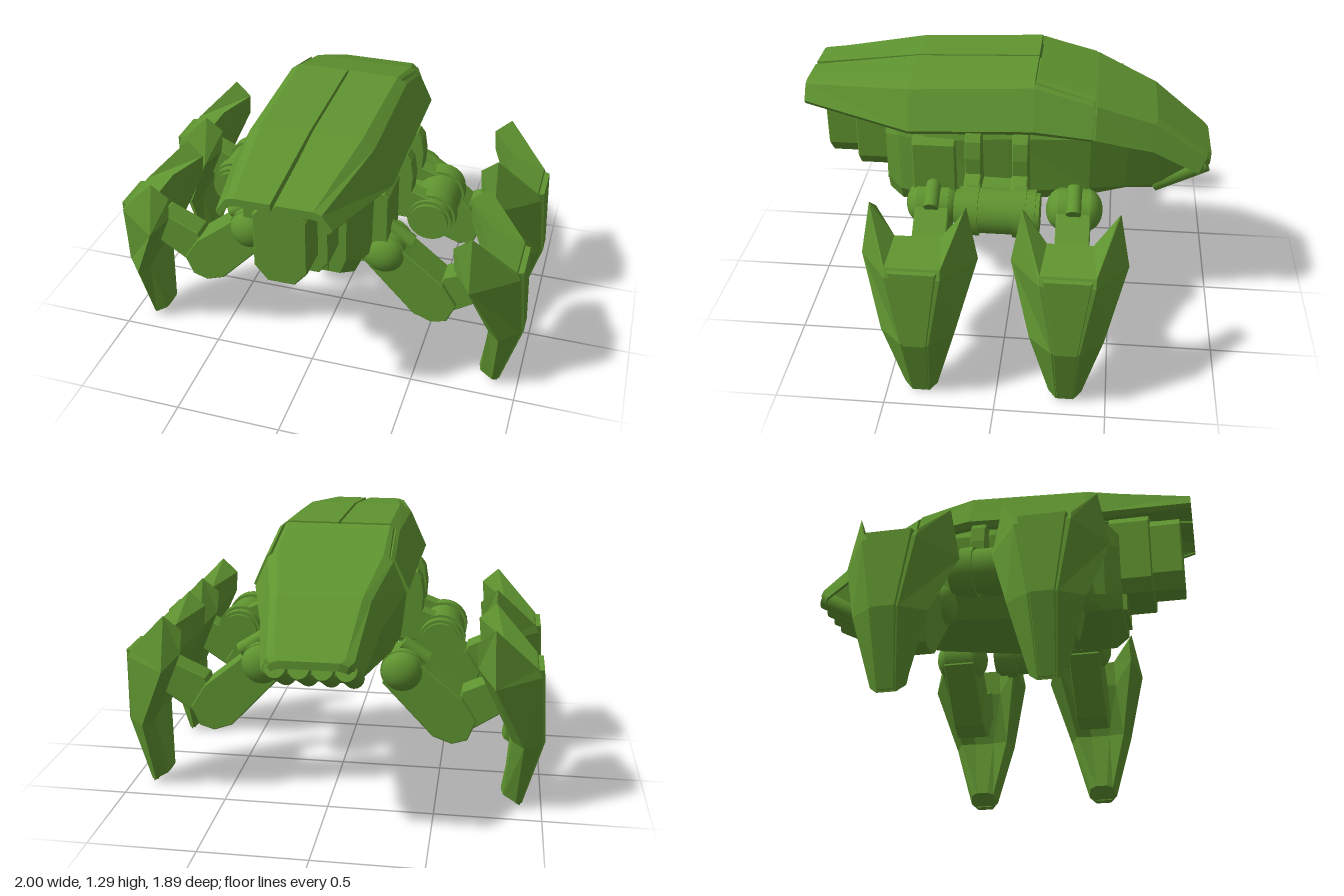
import * as THREE from 'three';

const green = new THREE.MeshStandardMaterial({ color: 0x5f9430, side: THREE.DoubleSide });
green.name = 'leaf green';

function add(parent, name, geometry, x = 0, y = 0, z = 0) {
  const mesh = new THREE.Mesh(geometry, green);
  mesh.name = name;
  mesh.position.set(x, y, z);
  parent.add(mesh);
  return mesh;
}

// Faceted skin through closed rings of [x, y, z]; ends are closed by pairing ring sides
function loft(rings) {
  const pos = [], n = rings[0].length;
  const quad = (a, b, c, d) => pos.push(...a, ...b, ...c, ...a, ...c, ...d);
  for (let r = 0; r + 1 < rings.length; r++) {
    for (let i = 0; i < n; i++) {
      const j = (i + 1) % n;
      quad(rings[r][i], rings[r + 1][i], rings[r + 1][j], rings[r][j]);
    }
  }
  const cap = (ring, flip) => {
    for (let i = 0; i < n / 2 - 1; i++) {
      const q = [ring[i], ring[i + 1], ring[n - 2 - i], ring[n - 1 - i]];
      quad(...(flip ? q.reverse() : q));
    }
  };
  cap(rings[0], false);
  cap(rings[rings.length - 1], true);
  const g = new THREE.BufferGeometry();
  g.setAttribute('position', new THREE.Float32BufferAttribute(pos, 3));
  g.computeVertexNormals();
  return g;
}

// Symmetric solid ring at depth z from right-hand points listed top to bottom
const bodyRing = (z, pts) => [
  ...pts.map(([x, y]) => [x, y, z]),
  ...pts.slice().reverse().map(([x, y]) => [-x, y, z]),
];

// Ring of a thin armour plate: outer points, then the same points moved inward,
// thinning to nothing in height at the lower rim
function plateRing(outer) {
  const ys = outer.map((p) => p[1]);
  const lo = Math.min(...ys), hi = Math.max(...ys);
  const inner = outer.slice().reverse().map(([x, y, z]) => [x * 0.92, y - 0.035 * (y - lo) / (hi - lo), z]);
  return [...outer, ...inner];
}

// Flat outline in the front plane, given thickness along z with a small bevel
function slab(points, depth, bevel = 0.005) {
  const shape = new THREE.Shape(points.map(([x, y]) => new THREE.Vector2(x, y)));
  const g = new THREE.ExtrudeGeometry(shape, {
    depth: depth - 2 * bevel, bevelEnabled: true, bevelSize: bevel,
    bevelOffset: -bevel, bevelThickness: bevel, bevelSegments: 1,
  });
  return g.translate(0, 0, bevel - depth / 2);
}

const zCylinder = (r, length, sides = 24) =>
  new THREE.CylinderGeometry(r, r, length, sides).rotateX(Math.PI / 2);

// Armoured shin, with two horns curling inward around the leg
function shinGeometry() {
  // outer face, side edge, inner edge, inner face; each [x, y, half depth]
  const rows = [
    [[0.945, 0.72, 0.12], [0.75, 0.92, 0.21], [0.67, 0.85, 0.2], [0.79, 0.78, 0.1]],
    [[0.965, 0.68, 0.12], [0.76, 0.66, 0.258], [0.68, 0.74, 0.205], [0.79, 0.64, 0.105]],
    [[0.99, 0.34, 0.062], [0.9, 0.35, 0.165], [0.845, 0.37, 0.13], [0.86, 0.37, 0.05]],
    [[0.9, 0.0, 0.04], [0.88, 0.03, 0.075], [0.82, 0.06, 0.06], [0.81, 0.07, 0.03]],
  ];
  return loft(rows.map(([a, b, c, d]) => [
    b, a, [a[0], a[1], -a[2]], [b[0], b[1], -b[2]],
    [c[0], c[1], -c[2]], [d[0], d[1], -d[2]], d, c,
  ]));
}

function makeLeg(name) {
  const leg = new THREE.Group();
  leg.name = name;
  // hip barrel with domed ends
  add(leg, 'hipBarrel', zCylinder(0.1, 0.15), 0.33, 0.66);
  for (const s of [1, -1]) {
    const dome = add(leg, 'hipDome', new THREE.SphereGeometry(0.098, 24, 14), 0.33, 0.66, s * 0.06);
    dome.scale.z = 0.75;
  }
  // thigh
  add(leg, 'thigh', slab([[0.24, 0.6], [0.48, 0.345], [0.57, 0.313], [0.64, 0.335],
    [0.68, 0.43], [0.61, 0.54], [0.46, 0.66], [0.37, 0.74], [0.28, 0.72]], 0.16));
  // knee link between thigh and shin
  add(leg, 'kneeLink', slab([[0.56, 0.42], [0.64, 0.37], [0.82, 0.49], [0.88, 0.55],
    [0.86, 0.66], [0.78, 0.65], [0.61, 0.57]], 0.115));
  // small piston above the hip
  const piston = add(leg, 'hipPiston', new THREE.CylinderGeometry(0.035, 0.035, 0.14, 16), 0.385, 0.74);
  piston.rotation.z = 1.0;
  add(leg, 'shin', shinGeometry());
  // raised plate down the outer face of the shin
  add(leg, 'shinPlate', loft([[0.975, 0.71, 0.1], [1.0, 0.34, 0.05], [0.91, 0.01, 0.034]].map(
    ([x, y, w]) => [[x - 0.03, y, w + 0.01], [x, y, w], [x, y, -w], [x - 0.03, y, -w - 0.01]])));
  return leg;
}

function makeSide() {
  const side = new THREE.Group();
  // front half shell and the flank that runs back beside the rear shell
  const shellRow = (z, pts) => plateRing(pts.map(([x, y]) => [x, y, z]));
  add(side, 'frontShell', loft([
    shellRow(0.95, [[0.012, 1.205], [0.17, 1.205], [0.205, 1.195], [0.25, 1.13], [0.237, 1.112]]),
    shellRow(0.45, [[0.006, 1.27], [0.23, 1.27], [0.285, 1.23], [0.37, 1.06], [0.35, 1.037]]),
    shellRow(-0.12, [[0.006, 1.29], [0.24, 1.29], [0.285, 1.26], [0.37, 1.085], [0.35, 1.06]]),
  ]));
  add(side, 'shellFlank', loft([
    shellRow(-0.12, [[0.268, 1.273], [0.285, 1.26], [0.37, 1.085], [0.35, 1.06]]),
    shellRow(-0.385, [[0.275, 1.2], [0.29, 1.185], [0.355, 1.05], [0.335, 1.03]]),
  ]));
  // shoulder pillar behind the front hip
  add(side, 'shoulderPillar', slab([[0.2, 0.61], [0.31, 0.61], [0.35, 0.66], [0.35, 0.98],
    [0.33, 1.0], [0.22, 1.0]], 0.2), 0, 0, 0.34);
  // side canister with clamps, stepped ends and curved straps up to the shell
  add(side, 'canister', zCylinder(0.105, 0.35), 0.49, 0.735, 0.028);
  add(side, 'canisterCore', zCylinder(0.09, 0.385), 0.49, 0.735, 0.028);
  for (const z of [-0.075, 0.14]) {
    add(side, 'canisterClamp', zCylinder(0.117, 0.06), 0.49, 0.735, z);
    add(side, 'strap', slab([[0.29, 1.06], [0.37, 1.06], [0.392, 1.03], [0.405, 0.95],
      [0.4, 0.87], [0.48, 0.84], [0.45, 0.72], [0.29, 0.72]], 0.075), 0, 0, z + 0.01);
  }
  add(side, 'canisterBracket', new THREE.BoxGeometry(0.16, 0.1, 0.2), 0.38, 0.75, 0.028);
  // legs
  for (const [name, z] of [['frontLeg', 0.345], ['rearLeg', -0.315]]) {
    const leg = makeLeg(name);
    leg.position.z = z;
    side.add(leg);
  }
  return side;
}

export function createModel() {
  const model = new THREE.Group();
  model.name = 'walker';

  // main hull
  add(model, 'hull', loft([
    bodyRing(0.59, [[0.17, 1.04], [0.2, 0.95], [0.2, 0.72], [0.17, 0.64]]),
    bodyRing(0.52, [[0.23, 1.1], [0.25, 0.97], [0.25, 0.68], [0.22, 0.61]]),
    bodyRing(0.38, [[0.27, 1.14], [0.31, 0.98], [0.3, 0.68], [0.23, 0.61]]),
    bodyRing(0.0, [[0.28, 1.16], [0.33, 1.02], [0.3, 0.72], [0.21, 0.62]]),
    bodyRing(-0.38, [[0.25, 1.13], [0.32, 1.03], [0.28, 0.75], [0.19, 0.66]]),
    bodyRing(-0.55, [[0.22, 1.06], [0.285, 0.98], [0.23, 0.74], [0.16, 0.69]]),
    bodyRing(-0.68, [[0.18, 1.02], [0.25, 0.94], [0.2, 0.74], [0.16, 0.7]]),
    bodyRing(-0.87, [[0.13, 0.91], [0.18, 0.86], [0.17, 0.82], [0.12, 0.8]]),
  ]));

  // neck block and long octagonal head
  add(model, 'neck', slab([[-0.165, 0.8], [-0.12, 0.74], [0.12, 0.74], [0.165, 0.8],
    [0.165, 1.11], [0.12, 1.16], [-0.12, 1.16], [-0.165, 1.11]], 0.2), 0, 0, 0.64);
  add(model, 'head', slab([[-0.118, 0.84], [-0.06, 0.77], [0.06, 0.77], [0.118, 0.84],
    [0.118, 1.1], [0.06, 1.16], [-0.06, 1.16], [-0.118, 1.1]], 0.24), 0, 0, 0.77);

  // chin frame around a slot
  for (const y of [0.665, 0.735]) {
    add(model, 'chinBar', new THREE.BoxGeometry(0.22, 0.018, 0.08), 0, y, 0.57);
  }
  for (const x of [-0.11, 0.11]) {
    add(model, 'chinPost', new THREE.BoxGeometry(0.018, 0.088, 0.08), x, 0.7, 0.57);
  }

  // rear shell
  const rearRow = (pts) => plateRing([
    ...pts.slice().reverse().map(([x, y, z]) => [-x, y, z]), ...pts,
  ]);
  add(model, 'rearShell', loft([
    rearRow([[0.24, 1.285, -0.13], [0.255, 1.275, -0.13], [0.262, 1.25, -0.13]]),
    rearRow([[0.24, 1.21, -0.395], [0.265, 1.195, -0.395], [0.272, 1.17, -0.395]]),
    rearRow([[0.24, 1.208, -0.4], [0.285, 1.18, -0.4], [0.345, 1.04, -0.4]]),
    rearRow([[0.185, 1.09, -0.68], [0.22, 1.07, -0.67], [0.27, 0.96, -0.65]]),
    rearRow([[0.15, 0.9, -0.925], [0.185, 0.885, -0.92], [0.22, 0.82, -0.885]]),
    rearRow([[0.13, 0.885, -0.945], [0.165, 0.87, -0.94], [0.2, 0.81, -0.9]]),
  ]));

  // four exhaust tubes under the tail
  for (const x of [-0.15, -0.05, 0.05, 0.15]) {
    const tube = add(model, 'exhaust', new THREE.CylinderGeometry(0.046, 0.046, 0.27, 16), x, 0.785, -0.8);
    tube.rotation.x = 0.47 - Math.PI / 2;
  }

  // mirrored sides
  for (const s of [1, -1]) {
    const side = makeSide();
    side.name = s > 0 ? 'leftSide' : 'rightSide';
    side.scale.x = s;
    model.add(side);
  }
  return model;
}
